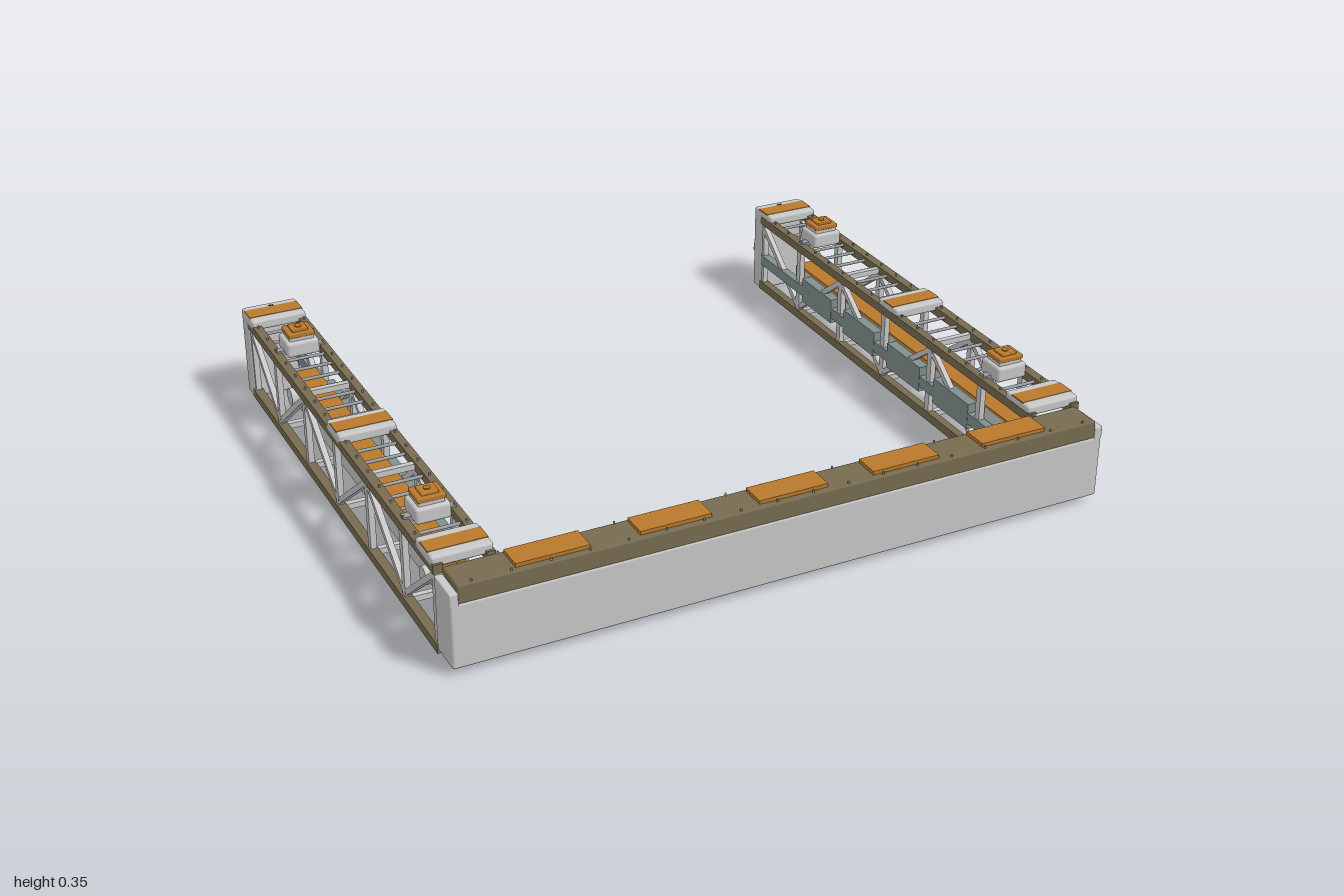
import * as THREE from 'three';
import { RoundedBoxGeometry } from 'three/addons/geometries/RoundedBoxGeometry.js';

const mat = (name, color) => {
  const m = new THREE.MeshStandardMaterial({ color });
  m.name = name;
  return m;
};

export function createModel() {
  const grey = mat('light grey', 0xc8c8c8);
  const olive = mat('olive', 0x776c50);
  const orange = mat('orange', 0xb8792d);
  const steel = mat('steel', 0x9b9da3);
  const teal = mat('grey teal', 0x80918d);
  const dark = mat('dark', 0x3a3833);

  const model = new THREE.Group();
  model.name = 'gantryFrame';
  let parent = model;

  const add = (name, geo, m, x = 0, y = 0, z = 0) => {
    const mesh = new THREE.Mesh(geo, m);
    mesh.name = name;
    mesh.position.set(x, y, z);
    parent.add(mesh);
    return mesh;
  };
  // box given by its extents along each axis; r rounds the edges
  const box = (name, m, [x0, x1], [y0, y1], [z0, z1], r = 0) => {
    const s = [Math.abs(x1 - x0), y1 - y0, z1 - z0];
    const geo = r ? new RoundedBoxGeometry(...s, 2, r) : new THREE.BoxGeometry(...s);
    return add(name, geo, m, (x0 + x1) / 2, (y0 + y1) / 2, (z0 + z1) / 2);
  };
  // square bar between two points
  const bar = (name, m, a, b, t) => {
    const p = new THREE.Vector3(...a), q = new THREE.Vector3(...b);
    const mesh = add(name, new THREE.BoxGeometry(t, t, p.distanceTo(q)), m);
    mesh.position.copy(p).add(q).multiplyScalar(0.5);
    mesh.lookAt(q);
    return mesh;
  };
  const stud = (x, y, z) =>
    add('stud', new THREE.CylinderGeometry(0.003, 0.003, 0.01, 16), steel, x, y, z);

  // front beam with its cap and panels
  box('frontBeam', grey, [-1, 1], [0.025, 0.22], [0.77, 0.88], 0.008);
  box('beamCap', olive, [-0.977, 0.977], [0.215, 0.272], [0.772, 0.877], 0.006);
  for (let i = -2; i <= 2; i++) {
    const x = i * 0.353;
    box('beamPanel', orange, [x - 0.105, x + 0.105], [0.268, 0.283], [0.782, 0.86]);
  }
  for (let i = 0; i < 18; i++) {
    const x = -0.935 + i * 0.11;
    stud(x, 0.274, 0.778);
    stud(x, 0.274, 0.868);
  }

  // two small boxes behind the beam
  for (const x of [-0.084, 0.08]) {
    box('rearBox', grey, [x - 0.033, x + 0.033], [0.06, 0.18], [0.665, 0.775], 0.004);
    box('rearBoxStripe', orange, [x - 0.033, x + 0.033], [0.177, 0.183], [0.69, 0.727]);
    box('rearBoxFace', teal, [x - 0.031, x + 0.031], [0.063, 0.177], [0.661, 0.667]);
  }

  const step = 0.2695, nodes = [];
  for (let i = -3; i <= 3; i++) nodes.push(-0.032 - i * step);

  for (const s of [1, -1]) {
    const X = (a, b) => [s * a, s * b];
    parent = new THREE.Group();
    parent.name = s > 0 ? 'leftArm' : 'rightArm';
    model.add(parent);

    box('cornerBlock', grey, X(0.975, 1), [0.21, 0.252], [0.772, 0.88], 0.004);

    // four chords
    for (const x of [[0.825, 0.85], [0.97, 0.998]]) {
      box('lowerChord', olive, X(...x), [0.006, 0.034], [-0.83, 0.765]);
      box('upperChord', olive, X(...x), [0.248, 0.275], [-0.83, 0.765]);
    }

    // truss webs: posts and zigzag diagonals on both sides
    for (const x of [0.838, 0.983]) {
      nodes.forEach((z, i) => {
        const zp = Math.max(-0.82, Math.min(0.748, z));
        box('post', grey, X(x - 0.009, x + 0.009), [0.03, 0.25], [zp - 0.011, zp + 0.011]);
        if (i < 6) {
          const up = i % 2 === 0;
          const end = (k) => Math.max(-0.83, Math.min(0.755, nodes[k]));
          bar('diagonal', grey, [s * x, up ? 0.245 : 0.04, end(i)],
            [s * x, up ? 0.04 : 0.245, end(i + 1)], 0.017);
        }
      });
      for (let z = 0.6; z > -0.75; z -= 0.09) stud(s * x, 0.278, z);
    }

    // cross members and ladder rungs
    nodes.slice(1, 6).forEach((z) => {
      box('upperCross', grey, X(0.84, 0.98), [0.252, 0.27], [z - 0.009, z + 0.009]);
      box('lowerCross', grey, X(0.84, 0.98), [0.01, 0.028], [z - 0.009, z + 0.009]);
    });
    for (let z = -0.73; z < 0.63; z += 0.069) {
      const rung = add('rung', new THREE.CylinderGeometry(0.005, 0.005, 0.14, 20), steel,
        s * 0.91, 0.262, z);
      rung.rotation.z = Math.PI / 2;
    }

    // equipment duct with lid and side hubs
    box('duct', grey, X(0.855, 0.931), [0.08, 0.168], [-0.63, 0.635]);
    box('ductLid', orange, X(0.855, 0.927), [0.168, 0.177], [-0.62, 0.625]);
    for (const z of [0.565, -0.56]) {
      const hub = add('ductHub', new THREE.CylinderGeometry(0.027, 0.027, 0.03, 24), grey,
        s * 0.942, 0.12, z);
      hub.rotation.z = Math.PI / 2;
    }

    // inner service rail carrying a wider cover in each bay
    box('serviceRail', teal, X(0.824, 0.85), [0.1, 0.135], [-0.82, 0.768]);
    for (let i = 1; i < 5; i++) {
      const z = (nodes[i] + nodes[i + 1]) / 2;
      box('serviceCover', teal, X(0.823, 0.856), [0.082, 0.165], [z - 0.095, z + 0.095]);
    }

    // saddle pads with a stripe
    for (const [z0, z1] of [[0.64, 0.757], [-0.063, 0.047], [-0.877, -0.762]]) {
      const c = (z0 + z1) / 2;
      box('saddlePad', grey, X(0.826, 0.999), [0.262, 0.294], [z0, z1], 0.008);
      box('saddleStripe', orange, X(0.828, 0.997), [0.289, 0.2955], [c - 0.028, c + 0.028]);
    }

    // end block with a latch at the inner edge of its back
    box('endBlock', grey, X(0.826, 0.999), [0.004, 0.293], [-0.878, -0.818], 0.01);
    box('latch', dark, X(0.828, 0.842), [0.13, 0.155], [-0.88, -0.87]);
    box('endPin', dark, X(0.902, 0.918), [0.292, 0.296], [-0.856, -0.848]);

    // capped mounts on the upper chords
    for (const z of [nodes[1], nodes[5]]) {
      const at = (h) => [z - h, z + h];
      box('mountBeam', steel, X(0.835, 0.985), [0.262, 0.28], at(0.012));
      box('mountBase', grey, X(0.86, 0.962), [0.266, 0.315], at(0.046), 0.01);
      box('mountNeck', grey, X(0.873, 0.949), [0.31, 0.328], at(0.034), 0.004);
      box('mountCap', orange, X(0.87, 0.952), [0.325, 0.34], at(0.037), 0.004);
      box('mountCapTop', orange, X(0.886, 0.936), [0.336, 0.347], at(0.025), 0.003);
      add('mountPin', new THREE.CylinderGeometry(0.01, 0.01, 0.004, 20), orange, s * 0.911, 0.348, z);
    }
  }
  return model;
}
